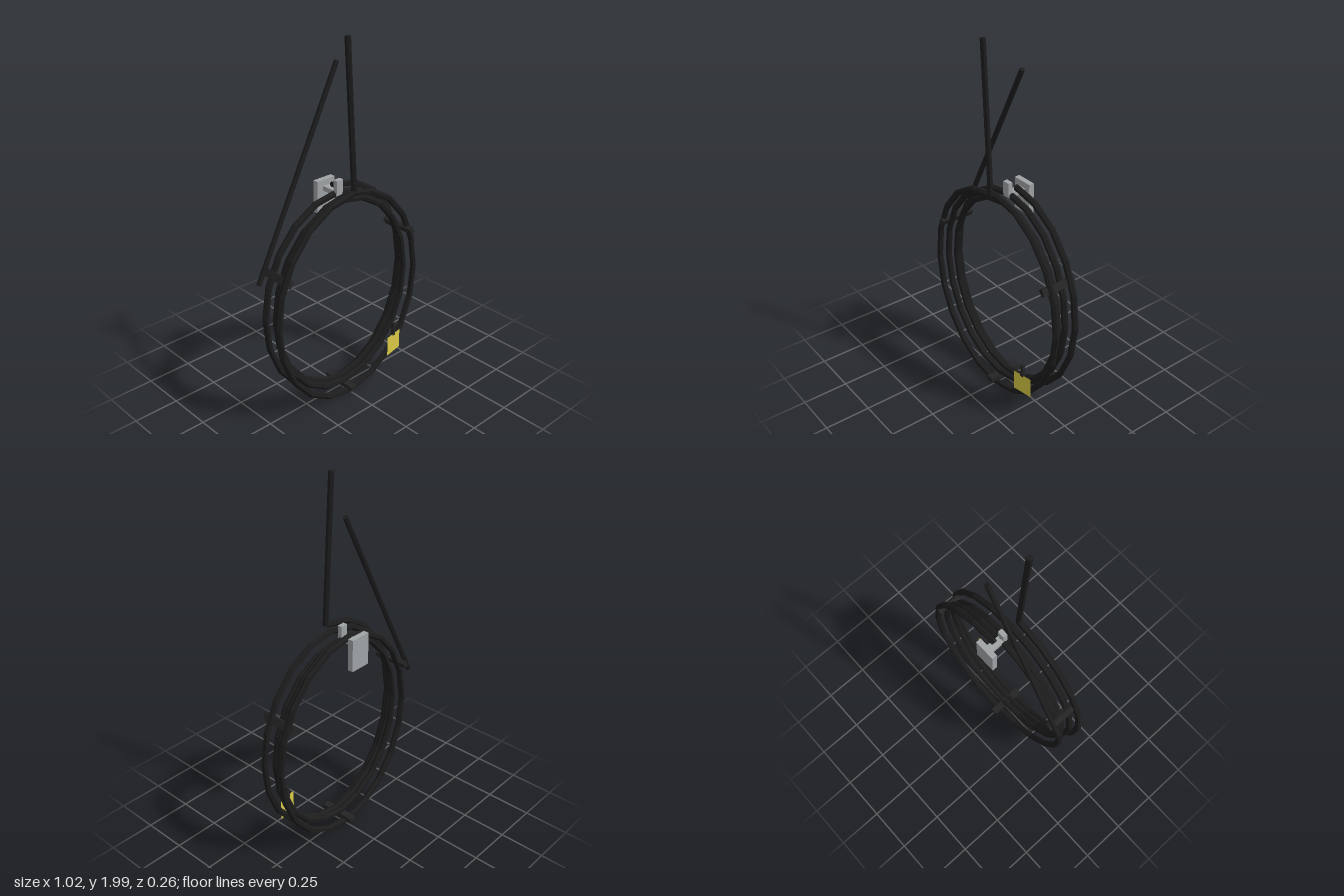
import * as THREE from 'three';

// Elliptical cable coil: four turns, running from back to front
const TURNS = 4;
const RADII = [0.49, 0.492, 0.468, 0.452, 0.44, 0.458, 0.48, 0.495, 0.497]; // one per half turn

class CoilCurve extends THREE.Curve {
  getPoint(u, target = new THREE.Vector3()) {
    const t = u * TURNS;
    const i = Math.min(Math.floor(t * 2), RADII.length - 2);
    const r = THREE.MathUtils.lerp(RADII[i], RADII[i + 1], t * 2 - i);
    const a = t * Math.PI * 2;
    return target.set(Math.sin(a) * r, 0.62 + Math.cos(a) * r * 1.193, -0.06 + 0.04 * t);
  }
  getUtoTmapping(u) { return u; } // equal steps of angle
}

export function createModel() {
  const group = new THREE.Group();
  const material = (name, color, extra = {}) => {
    const m = new THREE.MeshStandardMaterial({ color, flatShading: true, ...extra });
    m.name = name;
    return m;
  };
  const rubber = material('black rubber', 0x1c1c1c);
  const strap = material('dark strap', 0x242424);
  const steel = material('grey metal', 0xa0a4a6);
  const yellow = material('yellow label', 0xdac846, { side: THREE.DoubleSide });

  const add = (name, geometry, mat, x = 0, y = 0, z = 0, rz = 0) => {
    const mesh = new THREE.Mesh(geometry, mat);
    mesh.name = name;
    mesh.position.set(x, y, z);
    mesh.rotation.z = rz;
    group.add(mesh);
    return mesh;
  };
  const box = (name, mat, size, pos, rz = 0) =>
    add(name, new THREE.BoxGeometry(...size), mat, ...pos, rz);

  // Straight cable end between two points in the same z plane
  const cableEnd = (name, from, to, z, radius) => {
    const dx = to[0] - from[0], dy = to[1] - from[1];
    add(name, new THREE.CylinderGeometry(radius, radius, Math.hypot(dx, dy), 6), rubber,
      (from[0] + to[0]) / 2, (from[1] + to[1]) / 2, z, Math.atan2(-dx, dy));
  };

  // Coil, with its hidden start closed
  add('coil', new THREE.TubeGeometry(new CoilCurve(), TURNS * 20, 0.0175, 6, false), rubber);
  const start = add('coilStartCap', new THREE.CircleGeometry(0.0175, 6), rubber, 0, 1.205, -0.06);
  start.rotation.y = -Math.PI / 2;

  // Loose ends
  cableEnd('frontLead', [0, 1.21], [-0.048, 1.999], 0.1, 0.0155);
  cableEnd('backLead', [-0.488, 0.81], [0.035, 1.837], -0.063, 0.0135);

  // Three straps across the turns
  const strapSize = [0.04, 0.025, 0.2];
  box('bottomStrap', strap, strapSize, [-0.006, 0.053, 0.015]);
  box('leftStrap', strap, strapSize, [0.422, 0.865, 0.015], -Math.PI / 3);
  box('rightStrap', strap, strapSize, [-0.433, 0.865, 0.015], Math.PI / 3);

  // Wall hook
  box('hookPlate', steel, [0.117, 0.175, 0.03], [-0.005, 1.138, -0.115]);
  box('hookArm', steel, [0.042, 0.025, 0.1], [-0.005, 1.18, -0.05]);
  box('hookLip', steel, [0.042, 0.07, 0.025], [-0.005, 1.215, -0.01]);

  // Thin label, turned slightly aside, with its tie
  const label = add('label', new THREE.PlaneGeometry(0.117, 0.115), yellow, 0.29, 0.222, 0.122);
  label.rotation.y = 0.175;
  box('labelTie', strap, [0.017, 0.075, 0.017], [0.289, 0.31, 0.119]);

  return group;
}
